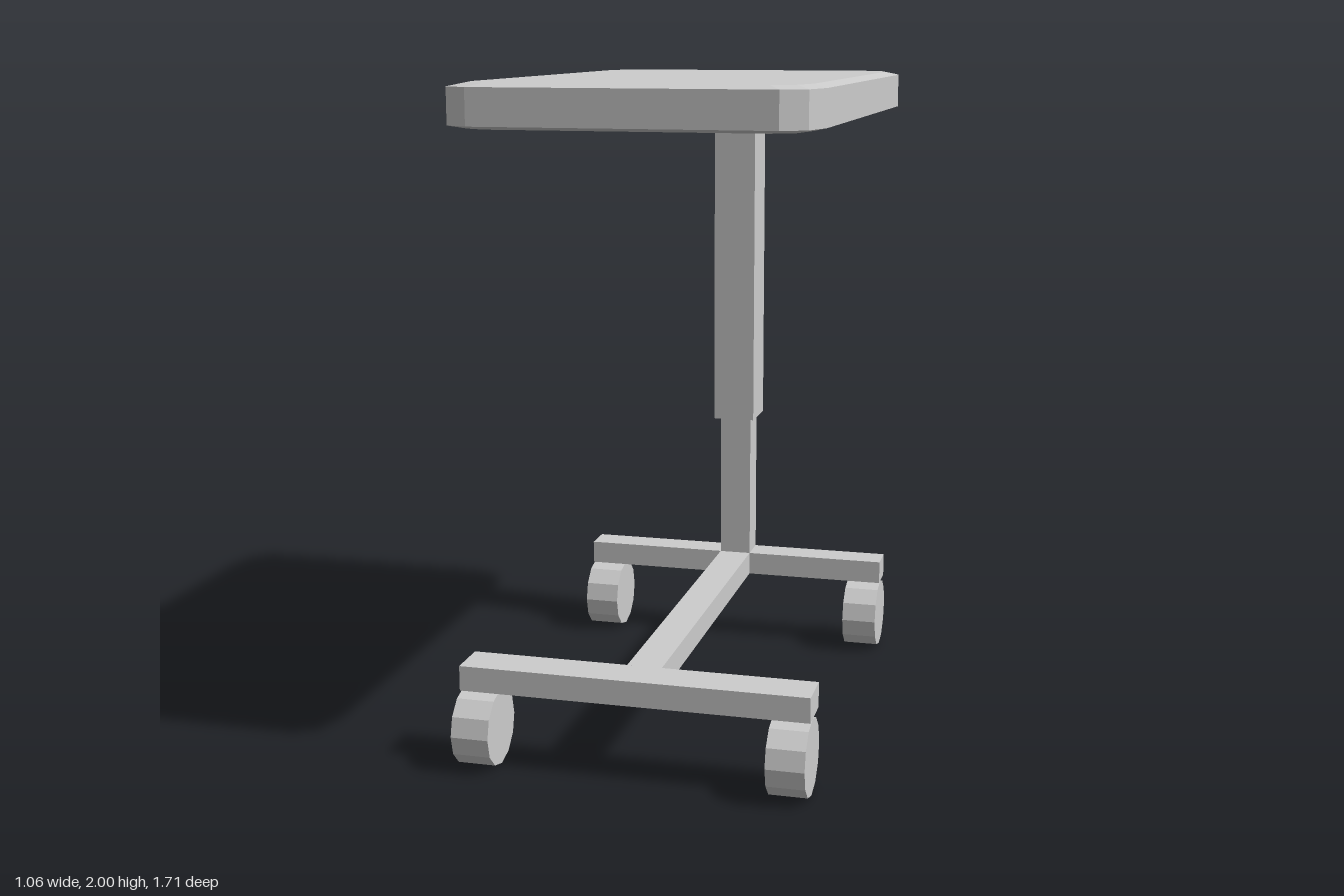
import * as THREE from 'three';

export function createModel() {
  const model = new THREE.Group();
  model.name = 'rollingTable';
  const grey = new THREE.MeshStandardMaterial({ color: 0xcccccc });
  grey.name = 'light grey';

  const add = (name, geometry, x = 0, y = 0, z = 0) => {
    const mesh = new THREE.Mesh(geometry, grey);
    mesh.name = name;
    mesh.position.set(x, y, z);
    model.add(mesh);
    return mesh;
  };
  // Box given by its limits on each axis
  const box = (name, [x0, x1], [y0, y1], [z0, z1]) =>
    add(name, new THREE.BoxGeometry(x1 - x0, y1 - y0, z1 - z0),
      (x0 + x1) / 2, (y0 + y1) / 2, (z0 + z1) / 2);

  // Table top: chamfered-corner slab with shallow bevels, as stacked outlines
  const corner = [[0.43, 0.853], [0.5, 0.81], [0.527, 0.69]];
  const mirror = (sx, sz) => corner.map(([x, z]) => [x * sx, z * sz]);
  const outline = [
    ...mirror(1, 1).reverse(), ...mirror(-1, 1),
    ...mirror(-1, -1).reverse(), ...mirror(1, -1),
  ];
  const layers = [[1.875, 0.92, 0.945], [1.885, 1, 1], [1.99, 1, 1], [2, 0.92, 0.945]];
  const points = layers.map(([y, sx, sz]) =>
    outline.map(([x, z]) => new THREE.Vector3(x * sx, y, z * sz)));
  const positions = [];
  const tri = (...corners) => corners.forEach((p) => positions.push(p.x, p.y, p.z));
  const n = outline.length;
  for (let k = 0; k < layers.length - 1; k++) {
    for (let i = 0; i < n; i++) {
      const j = (i + 1) % n;
      const [a, b, c, d] = [points[k][i], points[k][j], points[k + 1][j], points[k + 1][i]];
      tri(a, c, b);
      tri(a, d, c);
    }
  }
  for (let i = 1; i < n - 1; i++) {
    tri(points[0][0], points[0][i], points[0][i + 1]);
    tri(points[3][0], points[3][i + 1], points[3][i]);
  }
  const slab = new THREE.BufferGeometry();
  slab.setAttribute('position', new THREE.Float32BufferAttribute(positions, 3));
  slab.computeVertexNormals();
  add('tableTop', slab, 0.002);

  // Telescopic column
  box('upperColumn', [-0.075, 0.065], [0.8, 1.88], [-0.72, -0.555]);
  box('lowerColumn', [-0.058, 0.048], [0.3, 0.8], [-0.69, -0.588]);

  // H-shaped base
  box('frontCrossbar', [-0.535, 0.515], [0.23, 0.306], [0.61, 0.74]);
  box('rearCrossbar', [-0.535, 0.515], [0.23, 0.306], [-0.69, -0.588]);
  box('centreBar', [-0.058, 0.048], [0.23, 0.306], [-0.588, 0.61]);

  // Twelve-sided wheels under the crossbar ends
  const wheel = new THREE.CylinderGeometry(0.115, 0.115, 0.114, 12).toNonIndexed();
  wheel.rotateZ(Math.PI / 2);
  wheel.computeVertexNormals();
  for (const [end, z] of [['front', 0.706], ['rear', -0.612]]) {
    for (const [side, x] of [['Left', 0.458], ['Right', -0.478]]) {
      add(`${end}${side}Wheel`, wheel, x, 0.115, z);
    }
  }
  return model;
}
